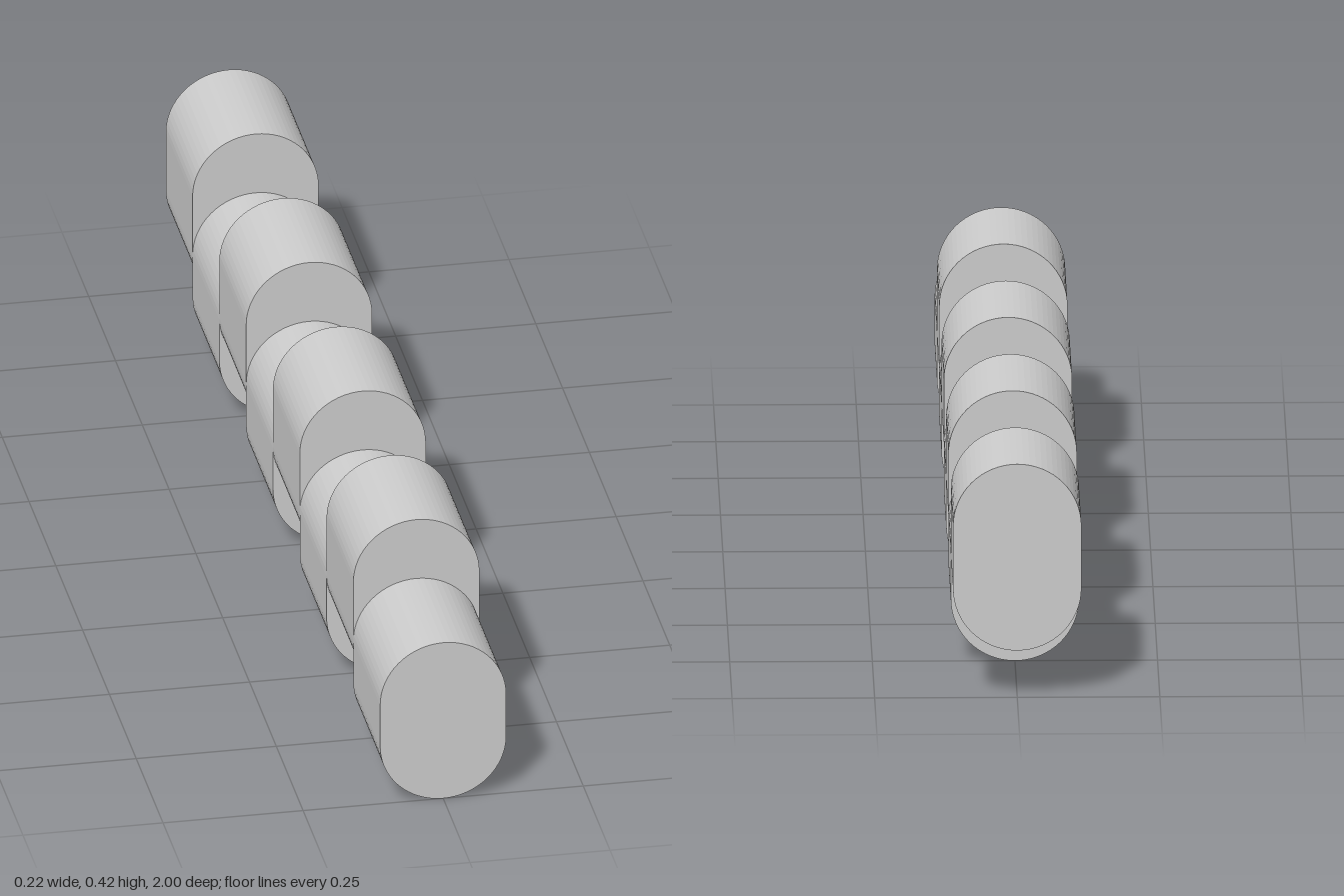
import * as THREE from 'three';

const RADIUS = 0.1125;
const LENGTH = 0.25;
const COUNT = 8;

// Block with a rounded top and bottom, extruded along z
function capsuleBlock(bottom, top) {
  const shape = new THREE.Shape();
  shape.absarc(0, top - RADIUS, RADIUS, 0, Math.PI, false);
  shape.absarc(0, bottom + RADIUS, RADIUS, Math.PI, Math.PI * 2, false);
  shape.closePath();
  return new THREE.ExtrudeGeometry(shape, {
    depth: LENGTH, bevelEnabled: false, curveSegments: 16,
  });
}

export function createModel() {
  const model = new THREE.Group();
  model.name = 'steppedBar';
  const material = new THREE.MeshStandardMaterial({ color: 0xcccccc, flatShading: true });
  const lowBlock = capsuleBlock(0, 0.307);
  const highBlock = capsuleBlock(0.085, 0.423);

  // Low and high blocks alternate from the front to the back
  for (let i = 0; i < COUNT; i++) {
    const low = i % 2 === 0;
    const block = new THREE.Mesh(low ? lowBlock : highBlock, material);
    block.name = `${low ? 'low' : 'high'}Block${Math.floor(i / 2) + 1}`;
    block.position.z = 1 - (i + 1) * LENGTH;
    model.add(block);
  }
  return model;
}
